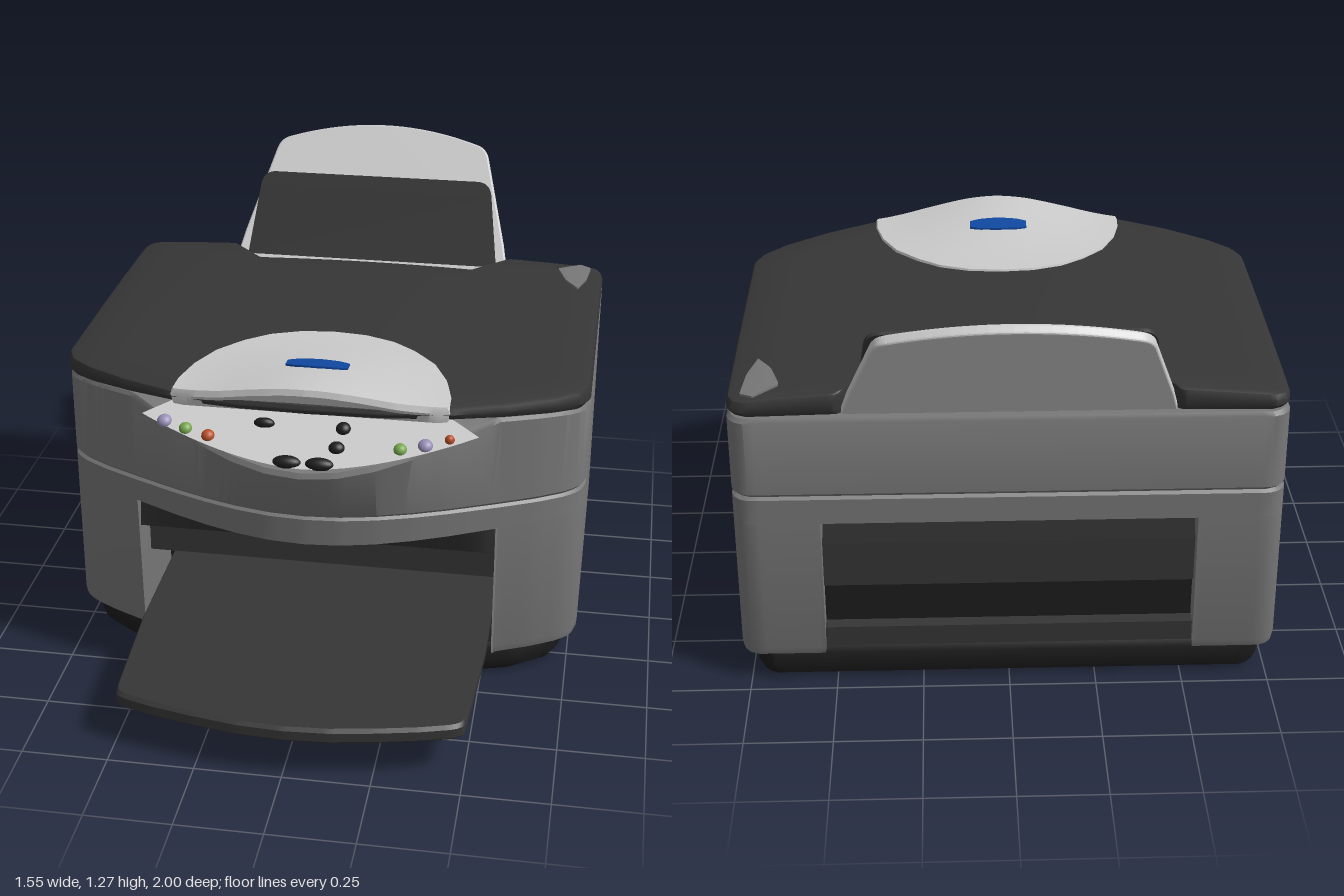
import * as THREE from 'three';
import { toCreasedNormals } from 'three/addons/utils/BufferGeometryUtils.js';

const mat = (color) => new THREE.MeshStandardMaterial({ color, side: THREE.DoubleSide });
const GREY = mat(0x787878), DARK = mat(0x363636), BLACK = mat(0x1c1c1c), SILVER = mat(0xc4c4c4);

// Closed plan outline [x, z] from its +x half (front centre to back centre).
function outline(half, n = 200) {
  const other = half.slice(1, -1).reverse().map(([x, z]) => [-x, z]);
  return resample([...half, ...other], n);
}
function resample(pts, n) {
  const s = new THREE.Shape(pts.map(([x, z]) => new THREE.Vector2(x, z)));
  s.closePath();
  return s.getSpacedPoints(n).slice(0, n).map((p) => [p.x, p.y]);
}
const inset = (pts, s, cx = 0, cz = 0) => pts.map(([x, z]) => [cx + (x - cx) * s, cz + (z - cz) * s]);
const clamp = THREE.MathUtils.clamp;

// Skin stacked rings; each layer is [outline, height or height(x, z)].
function loft(layers) {
  const n = layers[0][0].length, pos = [], idx = [];
  for (const [pts, y] of layers)
    for (const [x, z] of pts) pos.push(x, typeof y === 'function' ? y(x, z) : y, z);
  for (let r = 0; r < layers.length - 1; r++)
    for (let i = 0; i < n; i++) {
      const a = r * n + i, b = r * n + (i + 1) % n;
      idx.push(a, b, b + n, a, b + n, a + n);
    }
  const g = new THREE.BufferGeometry();
  g.setAttribute('position', new THREE.Float32BufferAttribute(pos, 3));
  g.setIndex(idx);
  return toCreasedNormals(g, 0.6);
}

// Height rules shared by the body, lid and control panel.
const seam = (x, z) => 0.595 + Math.max(0.021 * (0.25 - z), 0.07 * (z - 0.25));
const lidBottom = (x, z) => 0.86 + 0.2 * Math.max(0, z - 0.28);
const lidTop = (x, z) => 0.948 - 0.03 * (x / 0.775) ** 2 - 0.012 * Math.min(0, z / 0.7) ** 2;
const SLOPE = 0.55;
const panelY = (z) => 0.785 + (0.67 - z) * SLOPE;
const panelZ = (y) => 0.67 - (y - 0.785) / SLOPE;
const bodyTop = (x, z) => Math.min(lidBottom(x, z), panelY(z));
const off = (f, d) => (x, z) => f(x, z) + d;

export function createModel() {
  const model = new THREE.Group();
  const add = (name, geometry, material) => {
    const m = new THREE.Mesh(geometry, material);
    m.name = name;
    model.add(m);
    return m;
  };
  const box = (name, w, y0, y1, z0, z1, material) =>
    add(name, new THREE.BoxGeometry(w, y1 - y0, z1 - z0).translate(0, (y0 + y1) / 2, (z0 + z1) / 2), material);

  // Base
  const base = outline([[0, 0.445], [0.4, 0.43], [0.6, 0.37], [0.7, 0.3], [0.735, 0.22],
    [0.735, -0.64], [0.72, -0.68], [0.69, -0.7], [0, -0.7]]);
  add('base', loft([[inset(base, 0), 0], [inset(base, 0.955), 0], [inset(base, 0.985), 0.015], [base, 0.045],
    [base, 0.09], [inset(base, 0.985), 0.108], [inset(base, 0), 0.108]]), BLACK);

  // Body outline, its front leaning outward with height
  const body = outline([[0, 0.625], [0.1, 0.617], [0.2, 0.593], [0.3, 0.557], [0.4, 0.512], [0.53, 0.445],
    [0.64, 0.385], [0.72, 0.33], [0.76, 0.285], [0.775, 0.23], [0.775, -0.66], [0.76, -0.695], [0.725, -0.71], [0, -0.71]]);
  const lean = (pts, y, k) => pts.map(([x, z]) => [x, z + k * Math.max(0, z - 0.3) * (y - 0.6)]);

  // Side legs either side of the paper openings
  const legOutline = body.map(([x, z]) => [Math.max(x, 0.53), Math.min(z, 0.455)]);
  for (const side of [1, -1]) {
    const ring = (s, y) => {
      const r = inset(lean(legOutline, y, 0.3), s, 0.65, -0.15).map(([x, z]) => [x * side, z]);
      return [side > 0 ? r : r.reverse(), y];
    };
    add(side > 0 ? 'leftLeg' : 'rightLeg',
      loft([ring(0, 0.08), ring(0.95, 0.08), ring(0.985, 0.09), ring(1, 0.115), ring(1, 0.53), ring(0, 0.53)]), GREY);
  }

  // Band above the openings, up to the seam
  add('lowerBodyBand', loft([[inset(body, 0), 0.53], [lean(body, 0.53, 0.3), 0.53], [body, off(seam, -0.008)],
    [inset(body, 0.988), seam], [inset(body, 0), seam]]), GREY);

  // Sloped dark underside of the front overhang
  const mouth = lean(body, 0.53, 0.3).map(([x, z]) => [clamp(x, -0.53, 0.53), clamp(z, -0.67, 0.6)]);
  const mouthLow = mouth.map(([x, z]) => [x, Math.min(z, 0.43)]);
  add('overhangUnderside', loft([[inset(mouthLow, 0), 0.44], [mouthLow, 0.44], [inset(mouth, 0.99), 0.53]]), DARK);
  box('paperGuide', 1.06, 0.3, 0.44, -0.67, 0.33, DARK);
  box('paperBay', 1.06, 0.1, 0.3, -0.65, 0.1, BLACK);
  box('rearSill', 1.06, 0.1, 0.17, -0.69, -0.6, DARK);

  // Upper body with the front cut down for the control panel
  const upper = lean(body, 0.8, 0.8);
  add('upperBody', loft([[inset(body, 0), seam], [inset(body, 0.988), seam], [lean(body, 0.62, 0.8), off(seam, 0.01)],
    [upper, off(bodyTop, -0.012)],
    ...[0.99, 0.95, 0.9, 0.85, 0.8, 0.75, 0.7, 0.5, 0].map((s) => [inset(upper, s), bodyTop])]), GREY);

  // Lid, notched at the back for the paper support
  const lid = outline([[0, 0.575], [0.2, 0.565], [0.4, 0.525], [0.55, 0.455], [0.68, 0.375], [0.75, 0.31], [0.775, 0.25],
    [0.775, -0.65], [0.76, -0.685], [0.73, -0.7], [0.475, -0.69], [0.36, -0.55], [0, -0.55]], 320);
  add('lid', loft([[inset(lid, 0), lidBottom], [inset(lid, 0.985), lidBottom], [lid, off(lidBottom, 0.015)],
    [lid, off(lidTop, -0.018)], [inset(lid, 0.992), off(lidTop, -0.004)],
    ...[0.975, 0.85, 0.65, 0.4, 0.2, 0].map((s) => [inset(lid, s), lidTop])]), DARK);

  // Lever patch on the lid's back corner
  const patch = resample([[0.7, -0.46], [0.725, -0.55], [0.735, -0.66], [0.7, -0.68], [0.63, -0.62], [0.66, -0.52]], 40);
  add('cornerLever', loft([[patch, lidTop], [patch, off(lidTop, 0.006)],
    [inset(patch, 0, 0.695, -0.58), off(lidTop, 0.008)]]), mat(0x777777));

  // Raised silver hood at the front of the lid
  const hood = outline([[0, 0.59], [0.1, 0.584], [0.25, 0.562], [0.4, 0.525], [0.397, 0.45], [0.375, 0.35], [0.33, 0.25],
    [0.26, 0.17], [0.19, 0.115], [0.1, 0.08], [0, 0.07]]);
  const hoodTop = (x, z) => lidTop(x, z) + 0.006 + 0.045 *
    Math.cos(Math.PI * clamp(x, -0.4, 0.4) / 0.8) ** 2 * THREE.MathUtils.smoothstep(z, 0.07, 0.6);
  const hoodFoot = inset(hood, 0.98, 0, 0.35).map(([x, z]) => [x, Math.min(z, 0.53)]);
  add('lidHood', loft([[hoodFoot, 0.9], [hood, off(hoodTop, -0.018)],
    ...[0.98, 0.9, 0.75, 0.6, 0.4, 0.2, 0].map((s) => [inset(hood, s, 0, 0.35), hoodTop])]), SILVER);

  // Blue badge plate
  const badge = outline([[0, 0.41], [0.06, 0.405], [0.09, 0.395], [0.09, 0.355], [0.06, 0.345], [0, 0.34]], 48);
  add('badge', loft([[badge, hoodTop], [badge, off(hoodTop, 0.006)],
    [inset(badge, 0, 0, 0.375), off(hoodTop, 0.007)]]), mat(0x1048a0));

  // Control panel: a lens lying on the sloped cut
  const lens = [];
  for (let i = 0; i <= 32; i++) {
    const x = -0.48 + 0.03 * i;
    lens.push(new THREE.Vector2(x, 0.79 + 0.072 * Math.min(1, Math.abs(x) / 0.48) ** 1.7));
  }
  lens.push(new THREE.Vector2(0.4, 0.888), new THREE.Vector2(-0.4, 0.888));
  const panel = new THREE.ShapeGeometry(new THREE.Shape(lens));
  const p = panel.attributes.position;
  for (let i = 0; i < p.count; i++) p.setXYZ(i, p.getX(i), p.getY(i) + 0.004, panelZ(p.getY(i)) + 0.002);
  panel.computeVertexNormals();
  add('controlPanel', panel, SILVER);

  // Buttons: [x, y, half width, half depth, colour]
  const PURPLE = mat(0x9a90b8), GREEN = mat(0x78a850), ORANGE = mat(0xb85028);
  const dome = new THREE.SphereGeometry(1, 20, 12);
  for (const [x, y, w, d, m] of [
    [-0.41, 0.852, 0.021, 0.021, PURPLE], [-0.345, 0.842, 0.019, 0.019, GREEN], [-0.277, 0.833, 0.019, 0.019, ORANGE],
    [0.267, 0.833, 0.019, 0.019, GREEN], [0.335, 0.842, 0.021, 0.021, PURPLE], [0.4, 0.854, 0.014, 0.014, ORANGE],
    [-0.125, 0.86, 0.03, 0.016, BLACK], [-0.042, 0.8, 0.04, 0.02, BLACK], [0.05, 0.8, 0.04, 0.02, BLACK],
    [0.09, 0.828, 0.023, 0.02, BLACK], [0.1, 0.86, 0.021, 0.021, BLACK]]) {
    const b = add('button', dome, m);
    b.scale.set(w, 0.017, d);
    b.rotation.x = Math.atan(SLOPE);
    b.position.set(x, y + 0.004, panelZ(y) + 0.002);
  }

  // Output tray
  const tray = outline([[0, 0.998], [0.13, 0.99], [0.26, 0.968], [0.38, 0.942], [0.47, 0.915], [0.492, 0.9], [0.5, 0.875],
    [0.52, 0.5], [0.52, 0.05], [0, 0.05]]);
  add('outputTray', loft([[inset(tray, 0), 0.117], [inset(tray, 0.99), 0.117], [tray, 0.127], [tray, 0.155],
    [inset(tray, 0.99), 0.165], [inset(tray, 0), 0.165]]), DARK);

  // Paper support and the flap in front of it
  const plate = new THREE.Shape();
  plate.moveTo(-0.46, 0);
  plate.lineTo(0.46, 0);
  plate.lineTo(0.44, 0.1);
  plate.lineTo(0.365, 0.4);
  plate.quadraticCurveTo(0.355, 0.44, 0.32, 0.45);
  plate.quadraticCurveTo(0, 0.56, -0.32, 0.45);
  plate.quadraticCurveTo(-0.355, 0.44, -0.365, 0.4);
  plate.lineTo(-0.44, 0.1);
  const support = add('paperSupport', new THREE.ExtrudeGeometry(plate, {
    depth: 0.016, bevelThickness: 0.007, bevelSize: 0.007, bevelOffset: -0.007, bevelSegments: 3, curveSegments: 20,
  }), SILVER);
  support.rotation.x = -0.69;
  support.position.set(0, 0.865, -0.68);

  const flap = new THREE.Shape();
  flap.moveTo(-0.42, 0);
  flap.lineTo(0.42, 0);
  flap.lineTo(0.39, 0.23);
  flap.quadraticCurveTo(0.385, 0.28, 0.34, 0.28);
  flap.lineTo(-0.34, 0.28);
  flap.quadraticCurveTo(-0.385, 0.28, -0.39, 0.23);
  const rest = add('paperFlap', new THREE.ExtrudeGeometry(flap, { depth: 0.012, bevelEnabled: false }), DARK);
  rest.rotation.x = -0.4;
  rest.position.set(0, 0.89, -0.68);

  return model;
}
